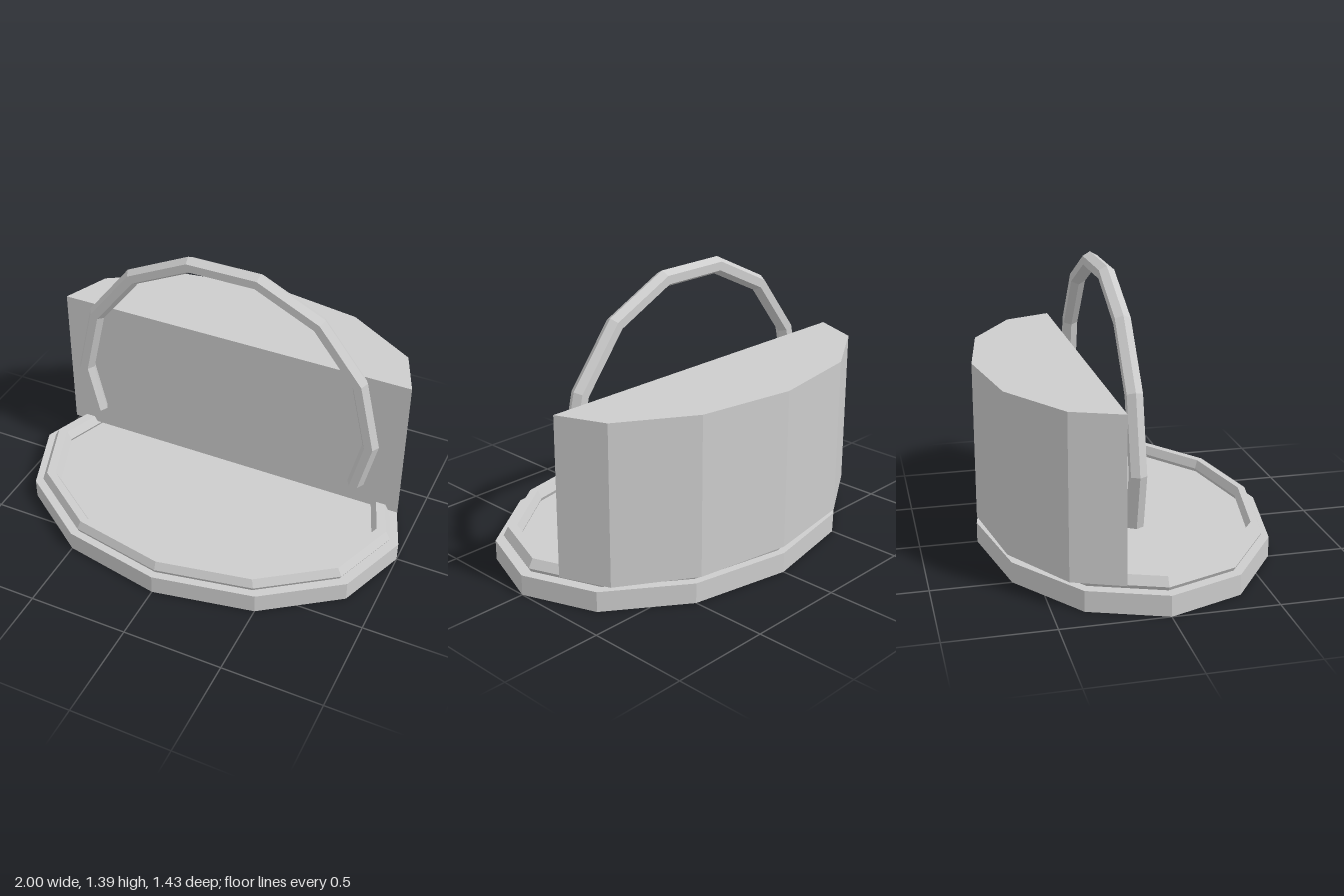
import * as THREE from 'three';

const grey = new THREE.MeshStandardMaterial({ color: 0xcccccc, flatShading: true });
grey.name = 'plain grey';

const DEPTH = 0.717; // depth of the oval relative to its width

function part(name, geometry) {
  const mesh = new THREE.Mesh(geometry, grey);
  mesh.name = name;
  return mesh;
}

// Bar with a six-sided section, swept along a path in the xy plane, closed at both ends
function sweptBar(path, radius) {
  const sides = 6, last = path.length - 1, pos = [], index = [];
  path.forEach(([x, y], i) => {
    const a = path[Math.max(i - 1, 0)], b = path[Math.min(i + 1, last)];
    const out = new THREE.Vector2(a[1] - b[1], b[0] - a[0]).normalize();
    if (i === 0) out.set(-1, 0); // ends are cut level
    if (i === last) out.set(1, 0);
    for (let k = 0; k < sides; k++) {
      const t = (k / sides) * Math.PI * 2, r = radius * Math.cos(t);
      pos.push(x + out.x * r, y + out.y * r, radius * Math.sin(t));
    }
  });
  for (let i = 0; i < last; i++) {
    for (let k = 0; k < sides; k++) {
      const n = (k + 1) % sides;
      const a = i * sides + k, b = i * sides + n, c = b + sides, d = a + sides;
      index.push(a, b, c, a, c, d);
    }
  }
  const e = last * sides;
  for (let k = 1; k < sides - 1; k++) index.push(0, k + 1, k, e, e + k, e + k + 1);
  const g = new THREE.BufferGeometry();
  g.setAttribute('position', new THREE.Float32BufferAttribute(pos, 3));
  g.setIndex(index);
  const flat = g.toNonIndexed();
  flat.computeVertexNormals();
  return flat;
}

export function createModel() {
  const model = new THREE.Group();
  model.name = 'model';

  // Twelve-sided oval base
  const base = new THREE.CylinderGeometry(1, 1, 0.1, 12);
  base.scale(1, 1, DEPTH).translate(0, 0.05, 0);
  model.add(part('base', base));

  // Raised rim, half sunk into the base
  const rim = new THREE.TorusGeometry(0.907, 0.049, 6, 12);
  rim.rotateX(Math.PI / 2).scale(1, 1, DEPTH).translate(0, 0.119, 0);
  model.add(part('rim', rim));

  // Upright back block that follows the rear edge of the base
  const half = [[0.93, 0.182], [0.834, 0.418], [0.483, 0.637]];
  const outline = [...half, [0, 0.715], ...half.map(([x, y]) => [-x, y]).reverse()];
  const block = new THREE.ExtrudeGeometry(
    new THREE.Shape(outline.map(([x, y]) => new THREE.Vector2(x, y))),
    { depth: 0.78, bevelEnabled: false });
  block.rotateX(-Math.PI / 2).translate(0, 0.133, 0);
  model.add(part('backBlock', block));

  // Arch in front of the block
  const left = [[-0.722, 0.323], [-0.782, 0.582], [-0.702, 0.925], [-0.486, 1.2], [-0.176, 1.349]];
  const path = [...left, ...left.map(([x, y]) => [-x, y]).reverse()];
  const arch = part('arch', sweptBar(path, 0.042));
  arch.position.z = -0.099;
  model.add(arch);

  return model;
}
